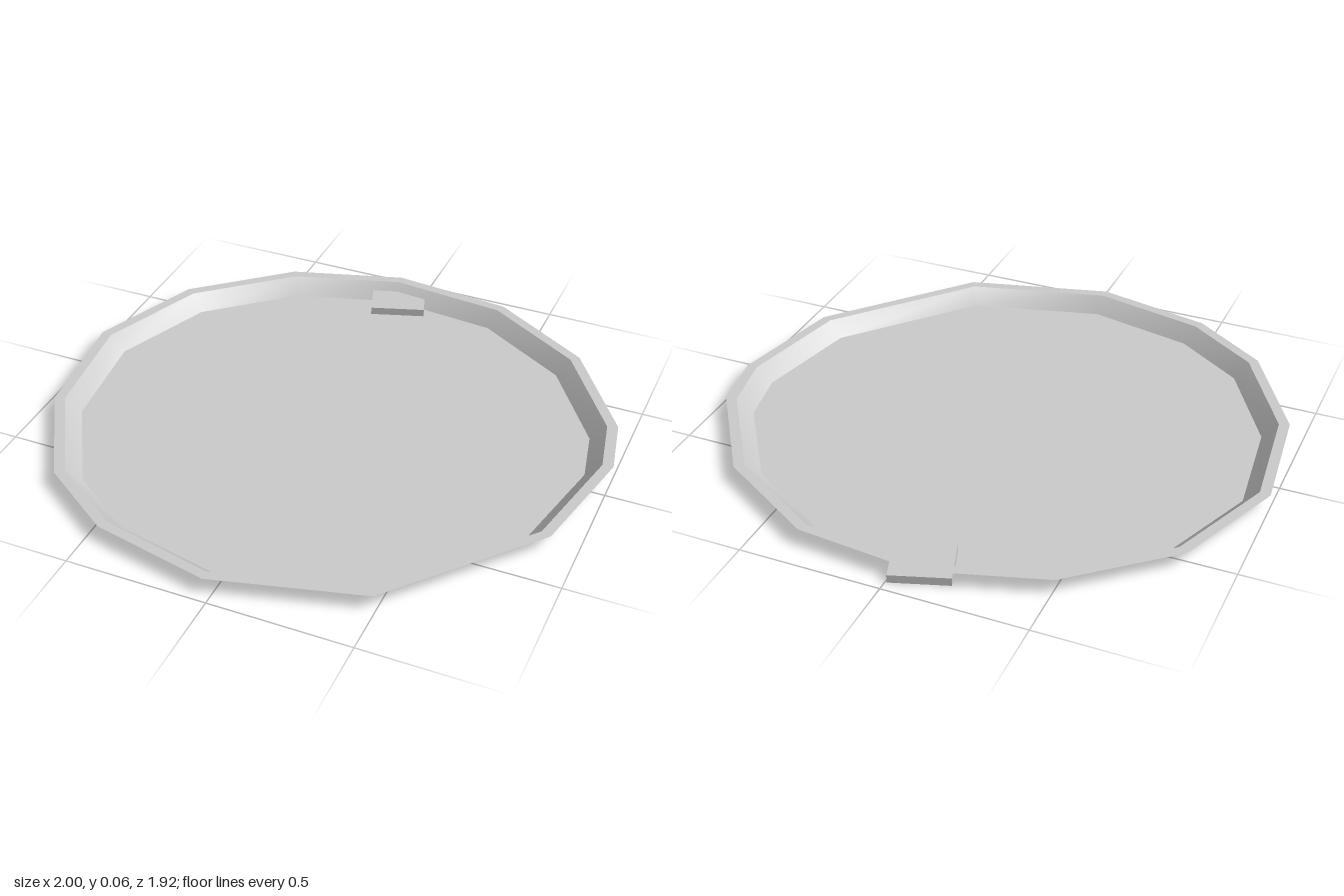
import * as THREE from 'three';

// Irregular outline of the tray's outer rim, as x, z pairs
const OUTLINE = [
  [-0.1, -0.94], [-0.51, -0.815], [-0.84, -0.53], [-1, -0.13], [-0.95, 0.305],
  [-0.73, 0.68], [-0.455, 0.867], [-0.03, 0.96], [0.49, 0.825], [0.91, 0.34],
  [1, -0.09], [0.955, -0.315], [0.71, -0.675], [0.34, -0.897],
];
const HEIGHT = 0.057;
const RIM_SCALE = 0.962;
const FLOOR_SCALE = 0.906;

const material = new THREE.MeshStandardMaterial({ color: 0xcccccc, side: THREE.DoubleSide });

// Band joining two scaled copies of the outline; faces up and inwards
function band(scaleA, yA, scaleB, yB) {
  const n = OUTLINE.length;
  const positions = [];
  const index = [];
  for (const [s, y] of [[scaleA, yA], [scaleB, yB]]) {
    for (const [x, z] of OUTLINE) positions.push(x * s, y, z * s);
  }
  for (let i = 0; i < n; i++) {
    const j = (i + 1) % n;
    index.push(i, j, n + j, i, n + j, n + i);
  }
  const geometry = new THREE.BufferGeometry();
  geometry.setAttribute('position', new THREE.Float32BufferAttribute(positions, 3));
  geometry.setIndex(index);
  geometry.computeVertexNormals();
  return geometry;
}

export function createModel() {
  const group = new THREE.Group();
  group.name = 'tray';
  const add = (name, geometry) => {
    const mesh = new THREE.Mesh(geometry, material);
    mesh.name = name;
    group.add(mesh);
    return mesh;
  };

  // Flat floor
  const shape = new THREE.Shape(
    OUTLINE.map(([x, z]) => new THREE.Vector2(x * FLOOR_SCALE, -z * FLOOR_SCALE)));
  add('floor', new THREE.ShapeGeometry(shape).rotateX(-Math.PI / 2));

  // Sloping wall and the flat lip around it
  add('wall', band(RIM_SCALE, HEIGHT, FLOOR_SCALE, 0));
  add('rim', band(1, HEIGHT, RIM_SCALE, HEIGHT));

  // Small tab set at an angle through the back wall
  const tab = add('tab', new THREE.BoxGeometry(0.205, 0.029, 0.18));
  tab.position.set(-0.075, 0.0145, -0.847);
  tab.rotation.y = 0.32;

  return group;
}
